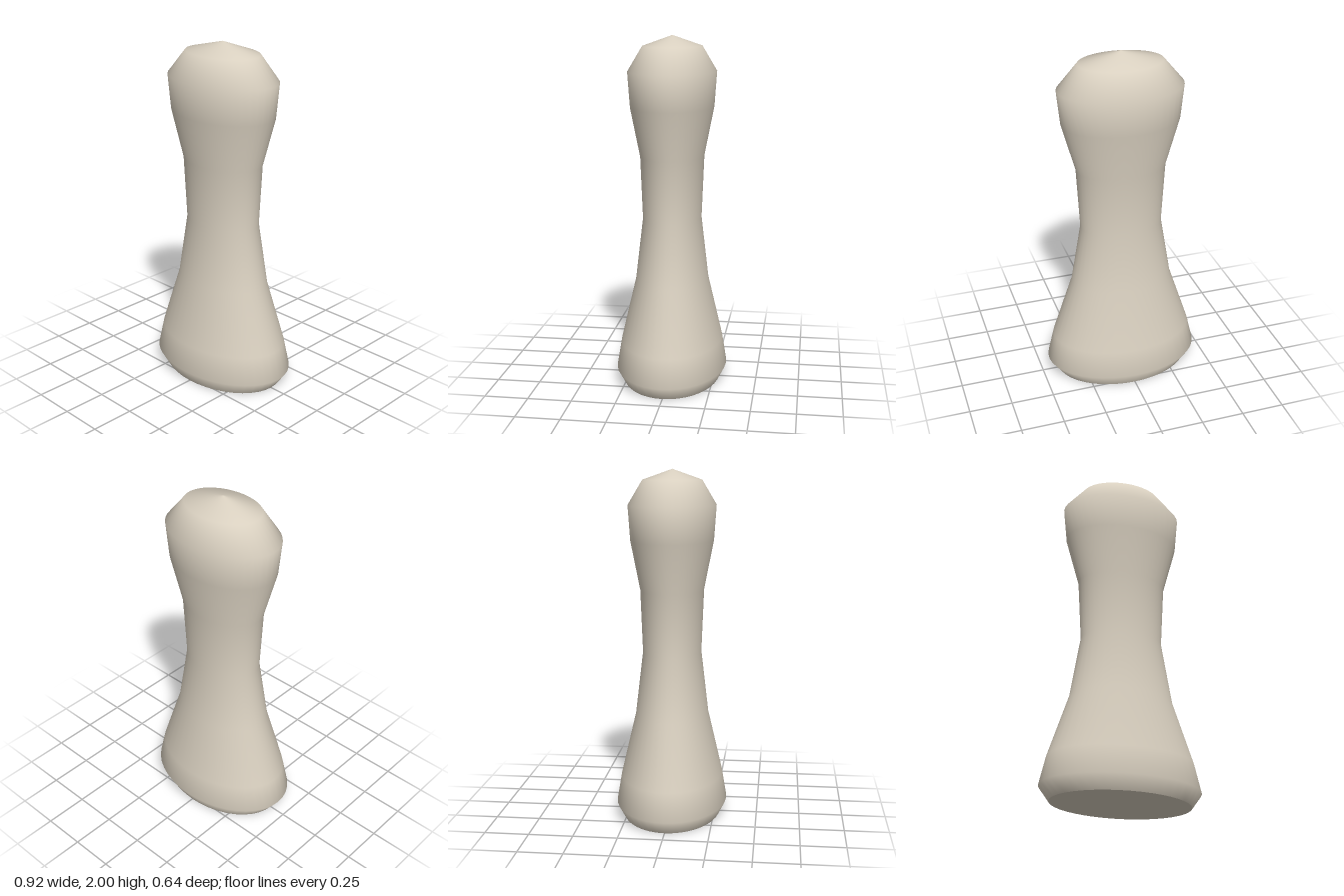
import * as THREE from 'three';

const SEGMENTS = 40;
const DEPTH = 0.7; // oval section: depth relative to width

export function createModel() {
  const group = new THREE.Group();
  group.name = 'bone';
  const ivory = new THREE.MeshStandardMaterial({ color: 0xd8cfbf });
  ivory.name = 'ivory';

  // Waisted shaft with a flared foot and a rounded head
  const profile = [
    [0.4, 0], [0.458, 0.08], [0.42, 0.24], [0.3, 0.6], [0.24, 0.96],
    [0.26, 1.32], [0.338, 1.6], [0.358, 1.8], [0.24, 1.94], [0, 2],
  ].map(([r, y]) => new THREE.Vector2(r, y));
  const shaft = new THREE.Mesh(
    new THREE.LatheGeometry(profile, SEGMENTS).scale(1, 1, DEPTH), ivory);
  shaft.name = 'shaft';

  // Flat underside
  const base = new THREE.Mesh(
    new THREE.CircleGeometry(0.4, SEGMENTS).rotateX(Math.PI / 2).scale(1, 1, DEPTH), ivory);
  base.name = 'base';

  group.add(shaft, base);
  return group;
}
